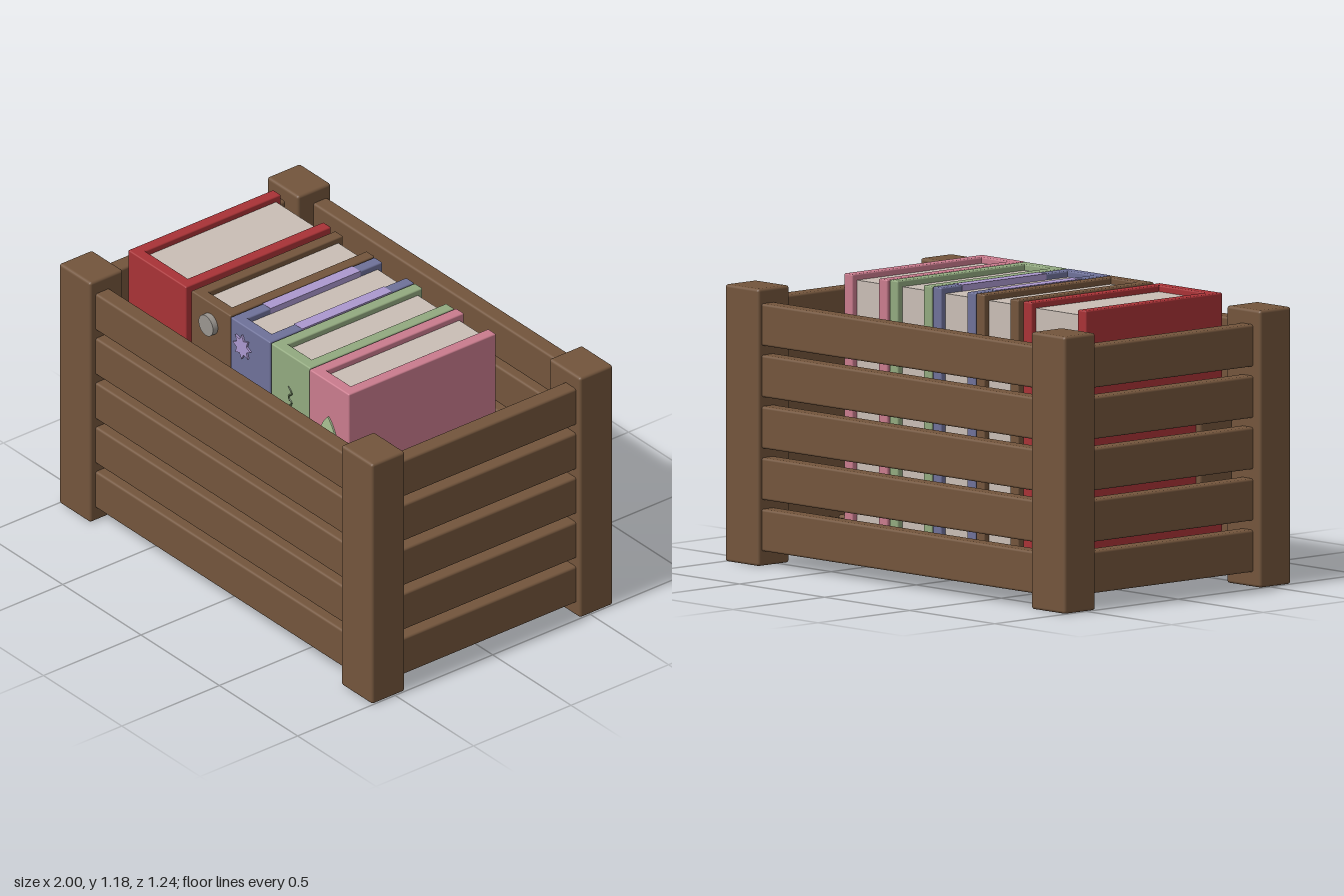
import * as THREE from 'three';
import { RoundedBoxGeometry } from 'three/addons/geometries/RoundedBoxGeometry.js';

const mat = (name, color) => {
  const m = new THREE.MeshStandardMaterial({ color });
  m.name = name;
  return m;
};

export function createModel() {
  const wood = mat('wood', 0x73553c), red = mat('red cover', 0xa83236), blue = mat('blue cover', 0x6e7199);
  const lilac = mat('lilac', 0xab98cf), green = mat('green cover', 0x92a97f), pink = mat('pink cover', 0xc97b8d);
  const paper = mat('paper', 0xc9beb5), grey = mat('grey', 0x9a958f);
  const vineGreen = mat('vine green', 0x56694a), leafGreen = mat('leaf green', 0xa9c193);

  const model = new THREE.Group();
  model.name = 'crateOfBooks';

  const add = (parent, name, geometry, material, x = 0, y = 0, z = 0) => {
    const mesh = new THREE.Mesh(geometry, material);
    mesh.name = name;
    mesh.position.set(x, y, z);
    parent.add(mesh);
    return mesh;
  };
  // Box given by its limits on each axis, with optional rounded edges
  const box = (parent, name, material, [x0, x1], [y0, y1], [z0, z1], r = 0) => {
    const s = [x1 - x0, y1 - y0, z1 - z0];
    const g = r ? new RoundedBoxGeometry(...s, 2, r) : new THREE.BoxGeometry(...s);
    return add(parent, name, g, material, (x0 + x1) / 2, (y0 + y1) / 2, (z0 + z1) / 2);
  };

  // Crate: corner posts, wall slats and floor slats
  const crate = new THREE.Group();
  crate.name = 'crate';
  model.add(crate);
  for (const sx of [-0.9, 0.9])
    for (const sz of [-0.533, 0.533])
      box(crate, 'cornerPost', wood, [sx - 0.1, sx + 0.1], [0, 1.12], [sz - 0.085, sz + 0.085], 0.012);
  for (let i = 0; i < 5; i++) {
    const y = [0.06 + i * 0.2075, 0.23 + i * 0.2075];
    box(crate, 'frontSlat', wood, [-0.81, 0.81], y, [0.517, 0.59], 0.01);
    box(crate, 'backSlat', wood, [-0.81, 0.81], y, [-0.6, -0.527], 0.01);
    box(crate, 'leftSlat', wood, [0.902, 0.974], y, [-0.46, 0.46], 0.01);
    box(crate, 'rightSlat', wood, [-0.957, -0.885], y, [-0.46, 0.46], 0.01);
    const z = -0.502 + i * 0.2085;
    box(crate, 'floorSlat', wood, [-0.9, 0.92], [0.075, 0.145], [z, z + 0.168], 0.01);
  }

  // Book: two cover boards, a spine and a recessed page block
  const bottom = 0.15, top = 1.18;
  const book = (name, cover, x0, x1, back, front) => {
    const g = new THREE.Group(), t = 0.05;
    g.name = name;
    model.add(g);
    box(g, 'coverBoard', cover, [x0, x0 + t], [bottom, top], [back, front], 0.006);
    box(g, 'coverBoard', cover, [x1 - t, x1], [bottom, top], [back, front], 0.006);
    box(g, 'spine', cover, [x0 + 0.004, x1 - 0.004], [bottom, top], [front - t, front], 0.006);
    box(g, 'pages', paper, [x0 + t - 0.002, x1 - t + 0.002], [bottom + 0.02, top - 0.025], [back + 0.025, front - t + 0.002]);
    return g;
  };

  // Red book with a broad brown band round its spine
  const redBook = book('redBook', red, -0.83, -0.46, -0.345, 0.4);
  box(redBook, 'spineBand', wood, [-0.86, -0.828], [0.38, 0.78], [0.25, 0.43], 0.012);
  box(redBook, 'spineBand', wood, [-0.462, -0.43], [0.38, 0.78], [0.25, 0.43], 0.012);
  box(redBook, 'spineBand', wood, [-0.86, -0.43], [0.38, 0.78], [0.398, 0.43], 0.012);

  // Brown book with a column of grey discs
  const brownBook = book('brownBook', wood, -0.427, -0.177, -0.34, 0.4);
  [0.046, 0.065, 0.082, 0.065, 0.046].forEach((r, i) => {
    const disc = new THREE.CylinderGeometry(r, r, 0.03, 32).rotateX(Math.PI / 2);
    add(brownBook, 'disc', disc, grey, -0.302, 0.245 + i * 0.21, 0.41);
  });

  // Blue book with lilac boards between blue corners, and stars on the spine
  const blueBook = book('blueBook', blue, -0.17, 0.082, -0.335, 0.405);
  for (const x of [-0.145, 0.057])
    box(blueBook, 'lilacBoard', lilac, [x - 0.026, x + 0.026], [bottom - 0.001, top + 0.001], [-0.22, 0.24]);
  const star = new THREE.Shape();
  for (let i = 0; i < 16; i++) {
    const a = (i / 16) * Math.PI * 2, r = i % 2 ? 0.034 : 0.056;
    star[i ? 'lineTo' : 'moveTo'](r * Math.sin(a), r * Math.cos(a));
  }
  const starGeometry = new THREE.ExtrudeGeometry(star, { depth: 0.009, bevelEnabled: false });
  [[-0.09, 1.08], [-0.005, 0.87], [-0.04, 0.66], [-0.08, 0.45], [-0.005, 0.23]].forEach(([x, y]) =>
    add(blueBook, 'star', starGeometry, lilac, x, y, 0.404));

  // Green book with a winding vine and leaves
  const greenBook = book('greenBook', green, 0.087, 0.337, -0.335, 0.405);
  const vinePoints = [];
  for (let i = 0; i <= 10; i++)
    vinePoints.push(new THREE.Vector3(0.212 + 0.012 * Math.sin(i * 1.7), 0.9 + i * 0.013, 0.405));
  add(greenBook, 'vine', new THREE.TubeGeometry(new THREE.CatmullRomCurve3(vinePoints), 40, 0.004, 6), vineGreen);

  // Pink book with a pointed leaf
  const pinkBook = book('pinkBook', pink, 0.341, 0.595, -0.343, 0.412);
  const leaf = new THREE.Shape();
  leaf.moveTo(0, 0.06);
  leaf.quadraticCurveTo(0.05, 0.01, 0.055, -0.05);
  leaf.lineTo(-0.055, -0.05);
  leaf.quadraticCurveTo(-0.05, 0.01, 0, 0.06);
  add(pinkBook, 'leaf', new THREE.ExtrudeGeometry(leaf, { depth: 0.008, bevelEnabled: false }), leafGreen, 0.468, 0.96, 0.411);

  return model;
}
